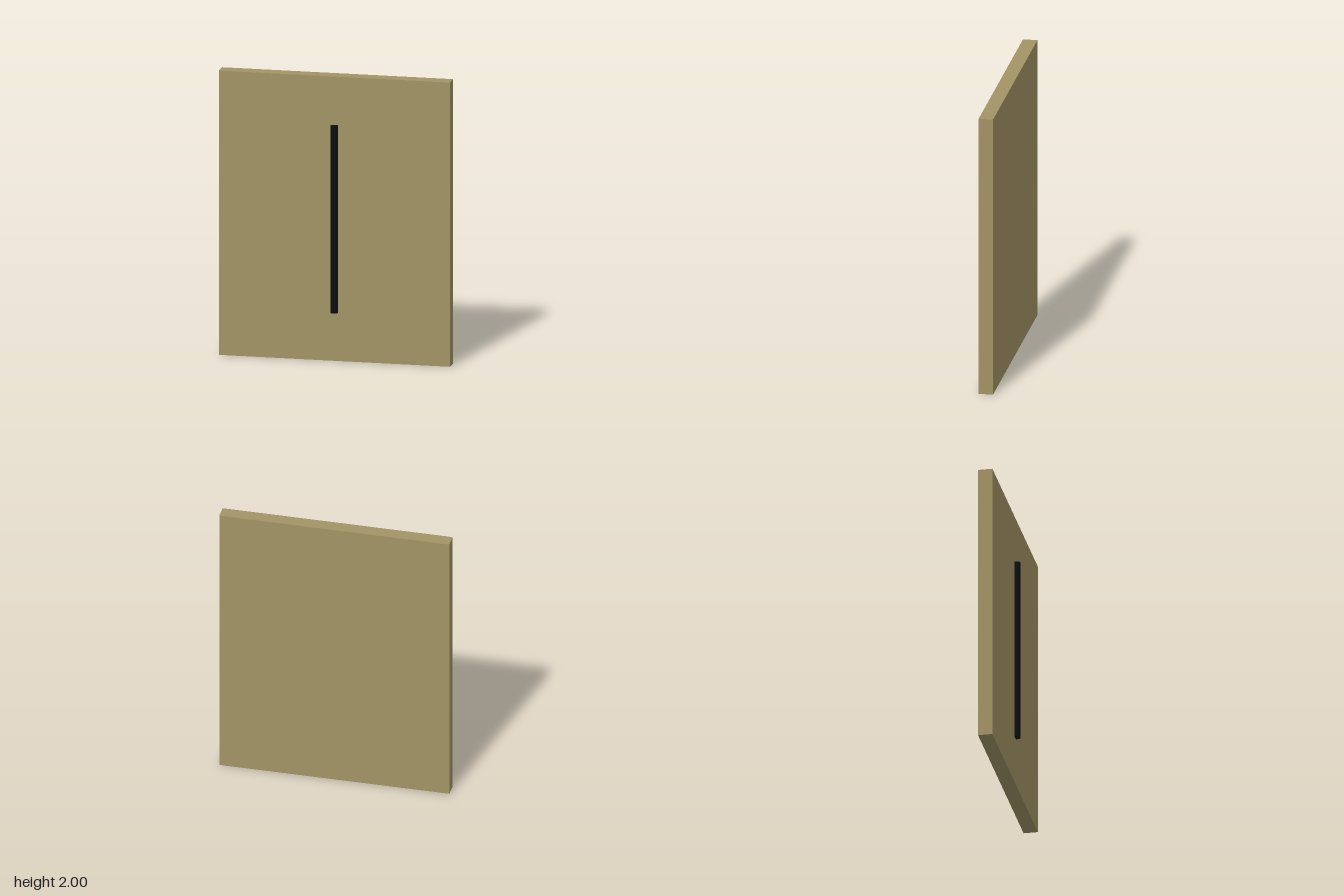
import * as THREE from 'three';

export function createModel() {
  const group = new THREE.Group();

  const addPart = (name, geometry, color, y, z) => {
    const mesh = new THREE.Mesh(geometry, new THREE.MeshStandardMaterial({ color }));
    mesh.name = name;
    mesh.position.set(0, y, z);
    group.add(mesh);
  };

  // Flat door slab standing on the ground
  addPart('doorPanel', new THREE.BoxGeometry(1.616, 2, 0.1), 0xa39466, 1, -0.018);

  // Vertical bar handle, partly sunk into the front face
  addPart('barHandle', new THREE.CylinderGeometry(0.0265, 0.0265, 1.318, 12), 0x0d0e10, 1, 0.042);

  return group;
}
